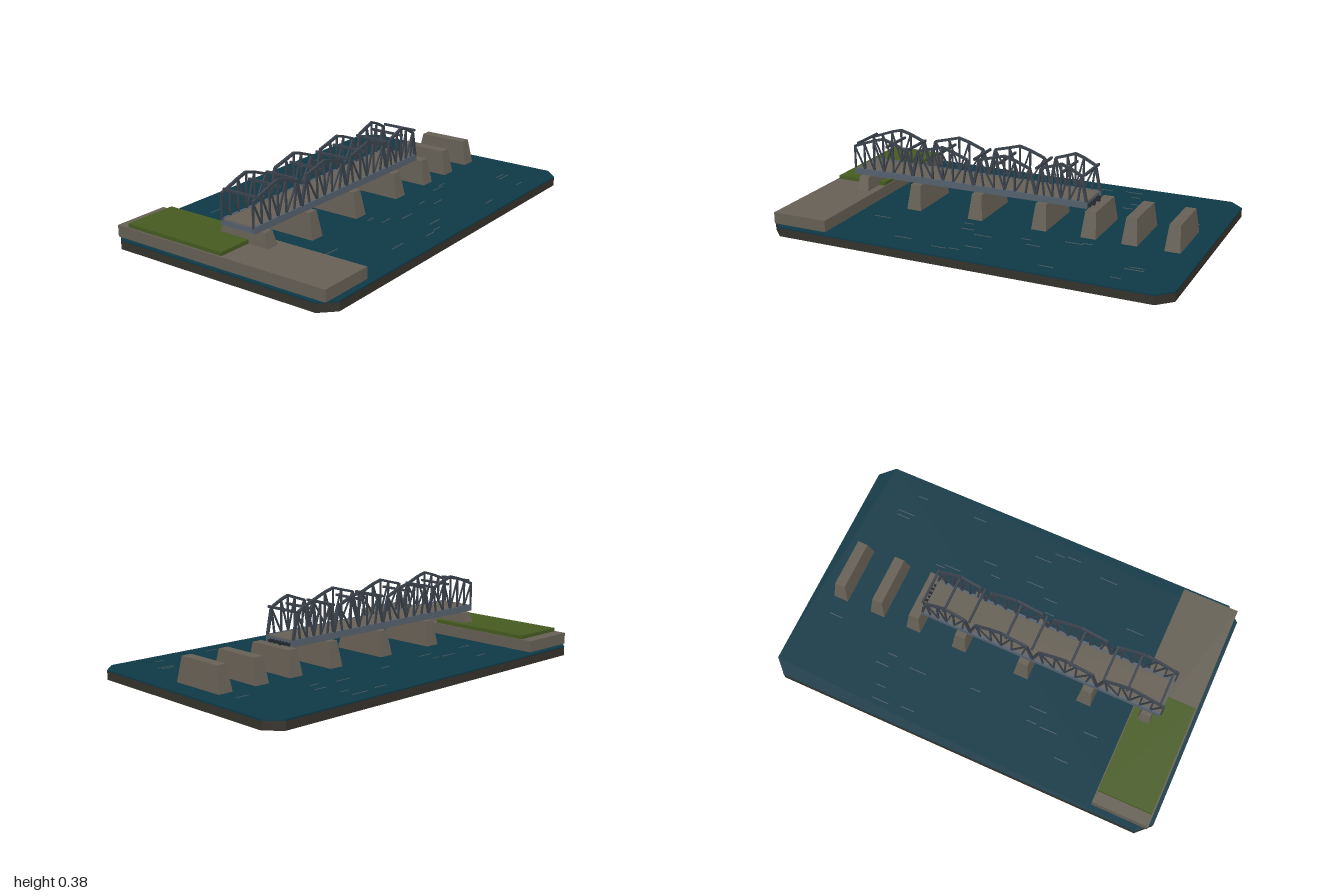
import * as THREE from 'three';

const mat = (name, color, flat = true) => {
  const m = new THREE.MeshStandardMaterial({ color, flatShading: flat });
  m.name = name;
  return m;
};

export function createModel() {
  const root = new THREE.Group();
  root.name = 'brokenTrussBridge';
  const earth = mat('dark earth', 0x35322b);
  const water = mat('deep water', 0x0e3846);
  const ripple = mat('ripple grey', 0x4c5a5e);
  const stone = mat('stone', 0x655f54);
  const grass = mat('grass', 0x465a20);
  const steel = mat('truss steel', 0x3a414b);
  const girder = mat('girder steel', 0x55606c);
  const rust = mat('dark rebar', 0x24272c);

  const add = (name, geo, material, parent = root) => {
    const m = new THREE.Mesh(geo, material);
    m.name = name;
    parent.add(m);
    return m;
  };
  // box given by its minimum and maximum corners
  const box = (name, x0, x1, y0, y1, z0, z1, material, parent) => {
    const m = add(name, new THREE.BoxGeometry(x1 - x0, y1 - y0, z1 - z0), material, parent);
    m.position.set((x0 + x1) / 2, (y0 + y1) / 2, (z0 + z1) / 2);
    return m;
  };
  // square bar between two points
  const bar = (name, a, b, w, material, parent) => {
    const p = new THREE.Vector3(...a), q = new THREE.Vector3(...b);
    const m = add(name, new THREE.BoxGeometry(w, w, p.distanceTo(q)), material, parent);
    m.position.copy(p).add(q).multiplyScalar(0.5);
    m.lookAt(q);
    return m;
  };
  // slab with cut corners
  const slab = (name, y0, y1, material) => {
    const X = 1, Z = 0.623, c = 0.068;
    const s = new THREE.Shape([[-X, -Z + c], [-X + c, -Z], [X - c, -Z], [X, -Z + c],
      [X, Z - c], [X - c, Z], [-X + c, Z], [-X, Z - c]].map(p => new THREE.Vector2(...p)));
    const g = new THREE.ExtrudeGeometry(s, { depth: y1 - y0, bevelEnabled: false });
    g.rotateX(-Math.PI / 2);
    add(name, g, material).position.y = y0;
  };
  // pier narrowing to the top
  const pier = (name, x, y0, y1, bw, bd, tw, td) => {
    const g = new THREE.BoxGeometry(1, y1 - y0, 1);
    const p = g.attributes.position;
    for (let i = 0; i < p.count; i++) {
      const top = p.getY(i) > 0;
      p.setX(i, p.getX(i) * (top ? tw : bw));
      p.setZ(i, p.getZ(i) * (top ? td : bd));
    }
    g.computeVertexNormals();
    add(name, g, stone).position.set(x, (y0 + y1) / 2, 0);
  };

  // base and water
  slab('base', 0, 0.04, earth);
  slab('water', 0.04, 0.047, water);

  // river bank
  box('bank', -0.98, -0.695, 0.047, 0.103, -0.59, 0.59, stone);
  box('grassPatch', -0.972, -0.7, 0.103, 0.121, -0.53, 0.03, grass);

  // piers, the last ones standing free
  pier('bankPier', -0.765, 0.103, 0.17, 0.065, 0.28, 0.05, 0.235);
  [-0.465, -0.13, 0.205, 0.455, 0.655, 0.86].forEach(x =>
    pier('pier', x, 0.047, 0.17, 0.076, 0.3, 0.052, 0.25));

  // deck
  const deck = new THREE.Group();
  deck.name = 'deck';
  root.add(deck);
  box('deckFrame', -0.83, 0.42, 0.172, 0.196, -0.082, 0.082, girder, deck);
  box('roadway', -0.825, 0.418, 0.196, 0.2, -0.084, 0.084, stone, deck);
  for (const s of [-1, 1])
    box('sideGirder', -0.83, 0.425, 0.17, 0.202, s * 0.09 - 0.006, s * 0.09 + 0.006, girder, deck);
  for (let i = 0; i < 7; i++) {
    const z = -0.066 + i * 0.022, len = 0.014 + 0.006 * (i % 3);
    bar('brokenBar', [0.415, 0.182, z], [0.42 + len, 0.176 + 0.003 * (i % 2), z], 0.01, rust, deck);
  }

  // arched trusses
  const rise = [0.2, 0.335, 0.355, 0.37, 0.355, 0.325, 0.2];
  const spans = [[-0.83, -0.5], [-0.5, -0.165], [-0.165, 0.165], [0.165, 0.42]];
  spans.forEach(([x0, x1], n) => {
    const span = new THREE.Group();
    span.name = 'trussSpan';
    root.add(span);
    const tops = rise.slice();
    if (n === 0) tops[0] = 0.315;
    for (const z of [-0.09, 0.09]) {
      const X = i => x0 + (x1 - x0) * (i === 1 && n ? 0.1 : i === 5 ? 0.9 : i / 6);
      const B = i => x0 + (x1 - x0) * i / 6;
      for (let i = 0; i < 6; i++)
        bar('topChord', [X(i), tops[i], z], [X(i + 1), tops[i + 1], z], 0.012, steel, span);
      // posts stand at every panel, diagonals fall toward midspan
      for (let i = n ? 1 : 0; i < 6; i++)
        bar('post', [B(i), 0.195, z], [X(i), tops[i], z], 0.008, steel, span);
      for (let i = n ? 1 : 0; i < 3; i++)
        bar('diagonal', [X(i), tops[i], z], [B(i + 1), 0.198, z], 0.007, steel, span);
      for (let i = 5; i > 3; i--)
        bar('diagonal', [X(i), tops[i], z], [B(i - 1), 0.198, z], 0.007, steel, span);
    }
  });

  // overhead struts
  [-0.81, -0.645, -0.525, -0.355, -0.16, -0.025, 0.167, 0.3, 0.41].forEach(x =>
    bar('overheadStrut', [x, 0.332, -0.093], [x, 0.332, 0.093], 0.011, steel));

  // ripples: x, z
  [[-.48, -.455], [-.365, -.345], [-.275, -.34], [-.56, -.28], [-.28, -.27], [.04, -.305],
    [.3, -.53], [.44, -.545], [.47, -.477], [.515, -.375], [.34, -.335], [.49, -.31],
    [.84, -.24], [-.555, .297], [-.13, .207], [-.105, .276], [0, .324], [.2, .28],
    [.257, .336], [.42, .233], [.48, .217], [.775, .39], [.77, .415], [.727, .527],
    [.407, .537], [.02, .468], [-.05, .522], [-.125, .533], [-.33, .495]].forEach(([x, z], i) => {
    const h = [0.035, 0.045, 0.025][i % 3];
    box('ripple', x - h, x + h, 0.046, 0.049, z - 0.002, z + 0.002, ripple);
  });
  return root;
}
